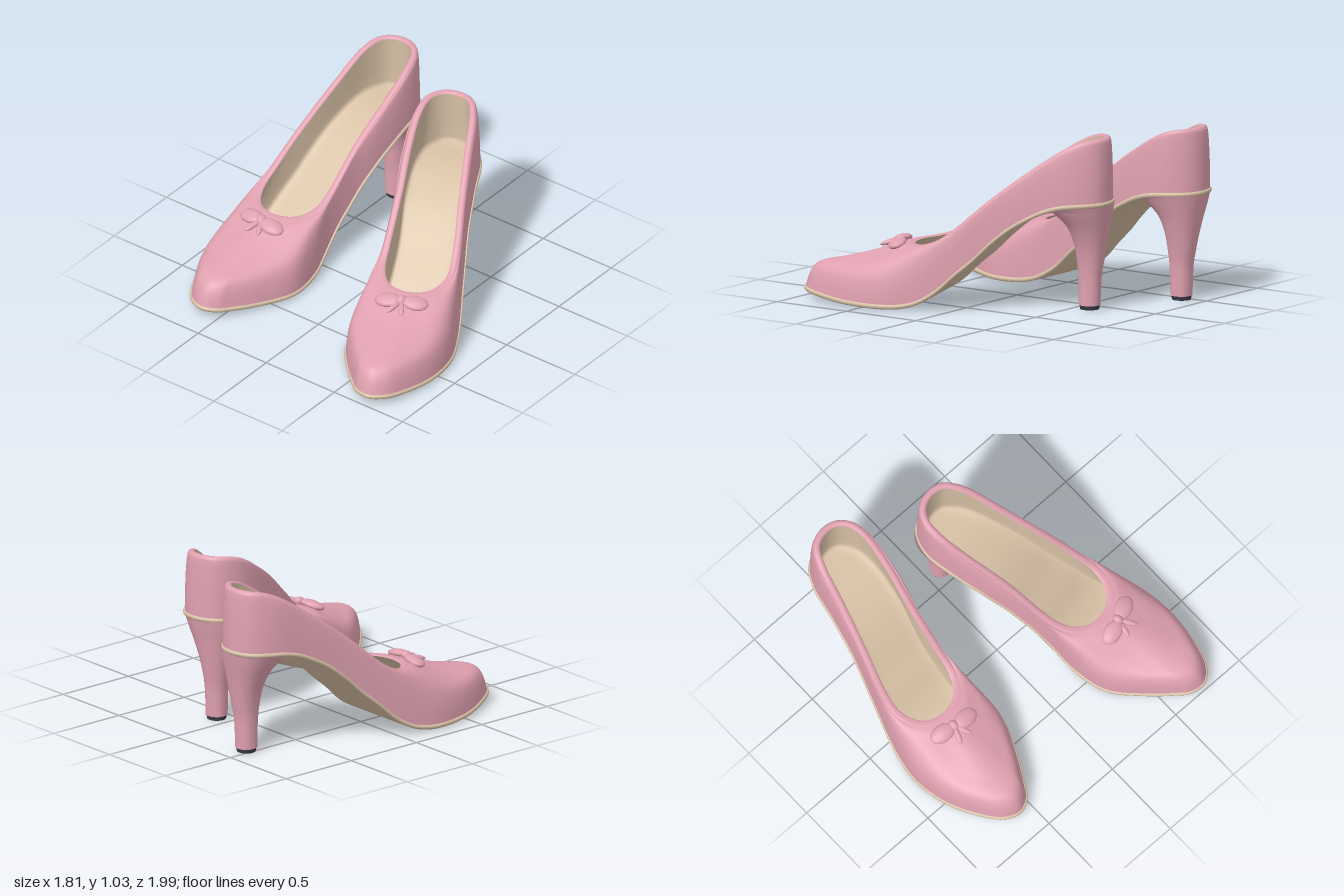
import * as THREE from 'three';

const pink = new THREE.MeshStandardMaterial({ color: 0xe0a1b0, side: THREE.DoubleSide });
pink.name = 'pink leather';
const beige = new THREE.MeshStandardMaterial({ color: 0xd7c0a5, side: THREE.DoubleSide });
beige.name = 'beige lining';
const dark = new THREE.MeshStandardMaterial({ color: 0x3a3b48 });
dark.name = 'dark rubber';

// Plan outline from the back of the heel round to the toe: welt x, z, then opening x, z
const PLAN = [
  [-.48, -.998, -.49, -.932], [-.61, -.96, -.575, -.9], [-.69, -.84, -.625, -.8],
  [-.737, -.6, -.67, -.58], [-.775, -.38, -.715, -.36], [-.83, -.14, -.76, -.15],
  [-.885, .1, -.77, 0], [-.908, .3, -.73, .1], [-.868, .52, -.68, .15],
  [-.77, .72, -.635, .167], [-.69, .82, -.608, .172], [-.59, .86, -.583, .175],
  [-.5, .815, -.556, .172], [-.455, .75, -.53, .167], [-.36, .58, -.475, .14],
  [-.275, .37, -.425, .08], [-.285, .17, -.395, 0], [-.325, -.04, -.385, -.12],
  [-.32, -.25, -.375, -.35], [-.285, -.45, -.35, -.58], [-.268, -.68, -.345, -.76],
  [-.292, -.85, -.37, -.865], [-.375, -.965, -.42, -.917],
];
// Heights along z: sole edge and topline of the opening
const SOLE = [[-1, .645], [-.77, .635], [-.66, .61], [-.56, .565], [-.45, .5], [-.34, .41], [-.24, .31],
  [-.13, .215], [-.03, .12], [.08, .052], [.18, .026], [.29, .02], [.49, .025], [.66, .038], [.86, .06]];
const TOP = [[-.96, 1.03], [-.85, 1.015], [-.74, .965], [-.52, .815], [-.3, .645], [-.11, .477],
  [-.015, .415], [.08, .385], [.175, .375]];
// Toe cap rise against the way back to the opening
const TOE = [[0, 0], [.03, .22], [.06, .35], [.1, .45], [.175, .525], [.365, .61], [.67, .79], [.9, .97], [1, 1]];
// Heel sections: y, centre x, centre z, half width, half depth
const HEEL = [[.025, -.464, -.847, .062, .062], [.2, -.463, -.849, .067, .068], [.3, -.462, -.852, .08, .081],
  [.4, -.464, -.852, .102, .097], [.5, -.47, -.84, .135, .126], [.57, -.475, -.81, .168, .17],
  [.64, -.478, -.777, .2, .215]];

const N = 176;
const { lerp, smoothstep } = THREE.MathUtils;

// Smooth interpolation of a height table
function height(table, z) {
  const last = table.length - 1;
  z = THREE.MathUtils.clamp(z, table[0][0], table[last][0]);
  let i = 0;
  while (i < last - 1 && z > table[i + 1][0]) i++;
  const slope = k => {
    const a = table[Math.max(k - 1, 0)], b = table[Math.min(k + 1, last)];
    return (b[1] - a[1]) / (b[0] - a[0]);
  };
  const [z0, y0] = table[i], [z1, y1] = table[i + 1], d = z1 - z0, t = (z - z0) / d;
  const t2 = t * t, t3 = t2 * t;
  return (2 * t3 - 3 * t2 + 1) * y0 + (t3 - 2 * t2 + t) * d * slope(i)
    + (3 * t2 - 2 * t3) * y1 + (t3 - t2) * d * slope(i + 1);
}
const soleY = z => height(SOLE, z);

// Closed plan curve sampled to points with outward normals
function outline(column) {
  const curve = new THREE.CatmullRomCurve3(PLAN.map(p => new THREE.Vector3(p[column], 0, p[column + 1])), true);
  return Array.from({ length: N }, (_, i) => {
    const p = curve.getPoint(i / N), t = curve.getTangent(i / N);
    return { x: p.x, z: p.z, nx: -t.z, nz: t.x };
  });
}
const WELT = outline(0), OPENING = outline(2);
const offset = (p, d) => [p.x + p.nx * d, p.z + p.nz * d];

// Skin over closed rings of [x, y, z] points
function loft(rings) {
  const n = rings[0].length, index = [];
  for (let j = 0; j < rings.length - 1; j++) {
    for (let i = 0; i < n; i++) {
      const k = (i + 1) % n, a = j * n + i, b = j * n + k;
      index.push(a, b, b + n, a, b + n, a + n);
    }
  }
  const geo = new THREE.BufferGeometry();
  geo.setAttribute('position', new THREE.Float32BufferAttribute(rings.flat(2), 3));
  geo.setIndex(index);
  geo.computeVertexNormals();
  return geo;
}
const ring = f => WELT.map((w, i) => f(w, OPENING[i]));

// Ring at an inset from the welt, drawn a fraction towards the centreline of the foot
function flatRing(inset, dy, toCentre = 0) {
  return ring(w => {
    const [x, z] = offset(w, -inset), cz = z * .85;
    const px = lerp(x, -.48 - .11 * smoothstep(cz, -.7, .15), toCentre), pz = lerp(z, cz, toCentre);
    return [px, soleY(pz) + dy, pz];
  });
}

function upperGeometry() {
  const rings = [], rim = .02;
  // domed wall from welt to topline, with a blunt cap over the toe
  for (let j = 0; j <= 28; j++) {
    const a = j / 28 * Math.PI / 2, h = 1 - Math.cos(a);
    rings.push(ring((w, o) => {
      const [x0, z0] = offset(w, -.01), [x1, z1] = offset(o, rim * 2);
      const v = lerp(Math.sin(a), height(TOE, h), smoothstep(w.z, .1, .8));
      return [lerp(x0, x1, h), lerp(soleY(z0) + .008, height(TOP, o.z) - .012, v), lerp(z0, z1, h)];
    }));
  }
  // rolled rim, flattening out over the vamp
  for (let j = 1; j <= 6; j++) {
    const a = j / 6 * Math.PI;
    rings.push(ring((w, o) => {
      const [x, z] = offset(o, rim + rim * Math.cos(a));
      const bump = lerp(.014, .004, smoothstep(o.z, -.15, .1));
      return [x, height(TOP, o.z) - .012 + bump * Math.sin(a), z];
    }));
  }
  return loft(rings);
}

function liningGeometry() {
  const rings = [ring((w, o) => [o.x, height(TOP, o.z) - .012, o.z])];
  const foot = flatRing(.062, .075);
  for (const t of [.35, .7, 1]) {
    rings.push(rings[0].map((p, i) => p.map((c, k) => lerp(c, foot[i][k], t))));
  }
  rings.push(flatRing(.066, .055), flatRing(.078, .045));
  for (const t of [.25, .5, .75, 1]) rings.push(flatRing(.078, .043, t));
  return loft(rings);
}

function soleGeometry() {
  const rings = [1, .75, .5, .25, .1].map(t => flatRing(.008, -.015, t));
  rings.push(flatRing(.008, -.014), flatRing(.001, -.007), flatRing(0, .002),
    flatRing(.003, .01), flatRing(.012, .014), flatRing(.03, .014));
  return loft(rings);
}

function heelGeometry() {
  const tables = [1, 2, 3, 4].map(k => HEEL.map(h => [h[0], h[k]])), rings = [];
  const squash = c => Math.sign(c) * Math.abs(c) ** .88;
  for (let j = 0; j <= 24; j++) {
    const y = lerp(.025, .64, j / 24);
    const [cx, cz, rx, rz] = tables.map(t => height(t, y));
    rings.push(Array.from({ length: 40 }, (_, i) => {
      const a = i / 40 * Math.PI * 2, z = cz - rz * squash(Math.cos(a));
      return [cx - rx * squash(Math.sin(a)), Math.min(y, soleY(z) - .006), z];
    }));
  }
  return loft(rings);
}

// Flattened ball used for the bow pieces
function pad(position, radii, yaw, pitch = 0, roll = 0) {
  const geo = new THREE.SphereGeometry(1, 24, 14);
  const turn = new THREE.Quaternion().setFromEuler(new THREE.Euler(pitch, yaw, roll, 'XYZ'));
  return geo.applyMatrix4(new THREE.Matrix4().compose(
    new THREE.Vector3(...position), turn, new THREE.Vector3(...radii)));
}

function createShoe(name, mirrored) {
  const shoe = new THREE.Group();
  shoe.name = name;
  const add = (part, geo, material, parent = shoe) => {
    if (mirrored) {
      geo.scale(-1, 1, 1);
      const id = geo.index.array;
      for (let i = 0; i < id.length; i += 3) [id[i], id[i + 1]] = [id[i + 1], id[i]];
    }
    const mesh = new THREE.Mesh(geo, material);
    mesh.name = part;
    parent.add(mesh);
  };
  add('upper', upperGeometry(), pink);
  add('lining', liningGeometry(), beige);
  add('sole', soleGeometry(), beige);
  add('heel', heelGeometry(), pink);
  add('heelTip', new THREE.CylinderGeometry(.061, .055, .028, 32).translate(-.464, .014, -.847), dark);

  // bow on the vamp
  const bow = new THREE.Group();
  bow.name = 'bow';
  shoe.add(bow);
  add('outerLoop', pad([-.672, .36, .266], [.079, .027, .053], -.1, .25, .15), pink, bow);
  add('innerLoop', pad([-.508, .36, .286], [.079, .027, .053], -.02, .25, -.15), pink, bow);
  add('outerTail', pad([-.612, .352, .336], [.017, .015, .056], -.32, .28), pink, bow);
  add('innerTail', pad([-.562, .352, .332], [.017, .015, .056], .45, .28), pink, bow);
  add('knot', pad([-.59, .37, .275], [.027, .028, .034], 0, .25), pink, bow);
  return shoe;
}

export function createModel() {
  const model = new THREE.Group();
  model.name = 'pairOfHeeledShoes';
  const right = createShoe('rightShoe', false);
  const left = createShoe('leftShoe', true);
  left.rotation.y = .31;
  left.position.set(-.087, 0, .353);
  model.add(right, left);
  return model;
}
